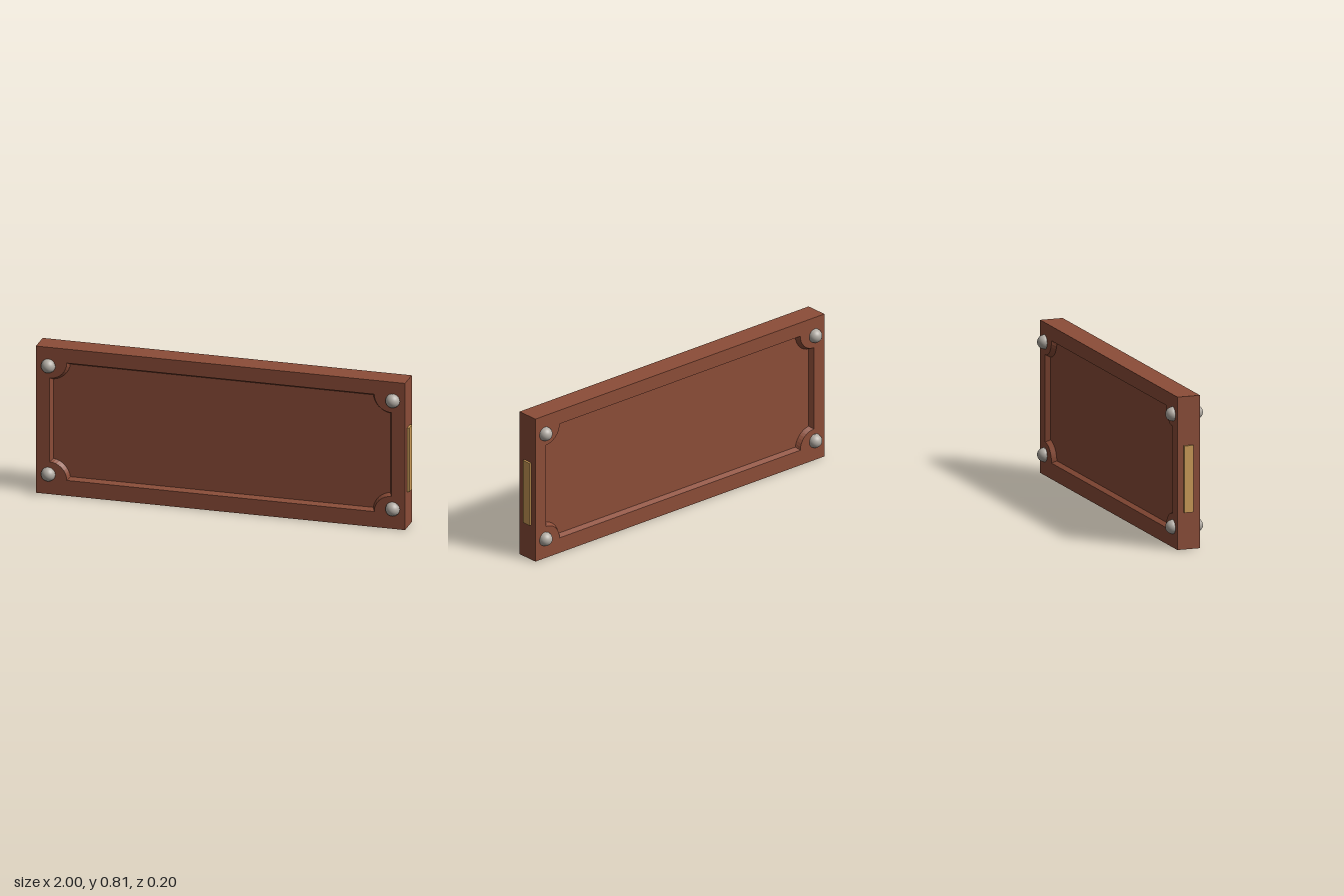
import * as THREE from 'three';

const HALF_W = 0.988, HEIGHT = 0.805, MID = HEIGHT / 2, HALF_D = 0.062;
const FLOOR = 0.037; // half thickness of the recessed panel
const STEPS = 8;

// Opening with scooped corners, shrunk by d on every side (counter-clockwise)
function opening(d) {
  const hx = 0.915, hy = 0.322, r = 0.092 + d;
  const a0 = Math.asin(d / r), a1 = Math.PI / 2 - a0;
  const pts = [];
  [[1, 1], [-1, 1], [-1, -1], [1, -1]].forEach(([sx, sy]) => {
    for (let i = 0; i <= STEPS; i++) {
      const t = sx * sy > 0 ? i / STEPS : 1 - i / STEPS;
      const a = a1 + (a0 - a1) * (1 - t);
      pts.push(new THREE.Vector2(sx * (hx - r * Math.sin(a)), sy * (hy - r * Math.cos(a)) + MID + 0.004));
    }
  });
  return pts;
}

// Sloped moulding running from the frame face down to the panel
function mouldingGeometry() {
  const top = opening(0), low = opening(0.013), pos = [];
  for (let i = 0; i < top.length; i++) {
    const j = (i + 1) % top.length;
    const a = [top[i].x, top[i].y, HALF_D], b = [top[j].x, top[j].y, HALF_D];
    const c = [low[j].x, low[j].y, FLOOR], e = [low[i].x, low[i].y, FLOOR];
    pos.push(...a, ...b, ...c, ...a, ...c, ...e);
  }
  const g = new THREE.BufferGeometry();
  g.setAttribute('position', new THREE.Float32BufferAttribute(pos, 3));
  g.computeVertexNormals();
  return g;
}

export function createModel() {
  const wood = new THREE.MeshStandardMaterial({ color: 0x8c4d38 });
  wood.name = 'redBrown';
  wood.side = THREE.DoubleSide;
  const steel = new THREE.MeshStandardMaterial({ color: 0xb3ada5 });
  steel.name = 'steelGrey';
  const brass = new THREE.MeshStandardMaterial({ color: 0xcc9c58 });
  brass.name = 'brass';

  const model = new THREE.Group();
  model.name = 'framedPanel';
  const add = (name, geometry, material, x = 0, y = 0, z = 0) => {
    const mesh = new THREE.Mesh(geometry, material);
    mesh.name = name;
    mesh.position.set(x, y, z);
    model.add(mesh);
    return mesh;
  };

  // Frame
  const outline = new THREE.Shape([
    new THREE.Vector2(-HALF_W, 0), new THREE.Vector2(HALF_W, 0),
    new THREE.Vector2(HALF_W, HEIGHT), new THREE.Vector2(-HALF_W, HEIGHT),
  ]);
  outline.holes.push(new THREE.Path(opening(0).reverse()));
  add('frame', new THREE.ExtrudeGeometry(outline, { depth: HALF_D * 2, bevelEnabled: false }), wood, 0, 0, -HALF_D);

  // Recessed panel
  add('panel', new THREE.BoxGeometry(1.9, 0.72, FLOOR * 2), wood, 0, MID, 0);

  // Mouldings and rivets on both faces
  const moulding = mouldingGeometry();
  const dome = new THREE.SphereGeometry(0.037, 24, 12, 0, Math.PI * 2, 0, Math.PI / 2);
  const collar = new THREE.CylinderGeometry(0.037, 0.039, 0.006, 24);
  for (const side of [1, -1]) {
    const label = side > 0 ? 'front' : 'back';
    add(label + 'Moulding', moulding, wood).rotation.y = side > 0 ? 0 : Math.PI;
    for (const x of [-0.922, 0.922]) {
      for (const y of [0.109, 0.703]) {
        add(label + 'Rivet', dome, steel, x, y, side * (HALF_D + 0.002)).rotation.x = side * Math.PI / 2;
        add(label + 'RivetCollar', collar, steel, x, y, side * HALF_D).rotation.x = side * Math.PI / 2;
      }
    }
  }

  // Brass plates on the two ends
  const half = { y: 0.176, z: 0.025 };
  const plate = new THREE.BoxGeometry(0.02, half.y * 2, half.z * 2);
  for (const side of [1, -1]) {
    add(side > 0 ? 'leftEndPlate' : 'rightEndPlate', plate, brass, side * 0.99, 0.371, -0.003);
  }
  return model;
}
